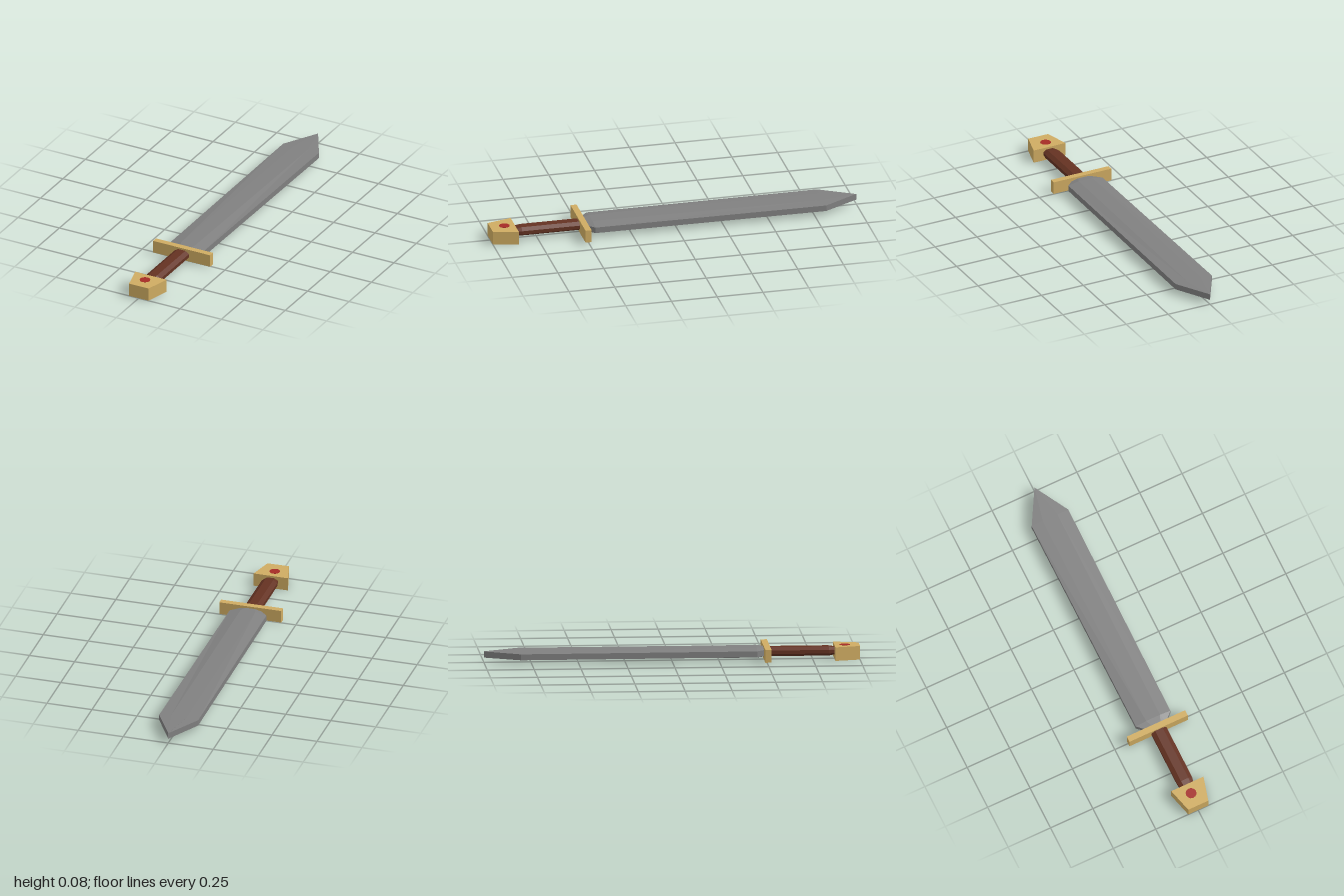
import * as THREE from 'three';

const steel = new THREE.MeshStandardMaterial({ name: 'steel', color: 0x808080 });
const gold = new THREE.MeshStandardMaterial({ name: 'gold', color: 0xcfac62 });
const leather = new THREE.MeshStandardMaterial({ name: 'leather', color: 0x643222 });
const ruby = new THREE.MeshStandardMaterial({ name: 'ruby', color: 0xa52b25 });

const MID = 0.042; // height of the sword's axis

// Skins rings of [x, y] points, ordered from front (+z) to back, with flat facets.
function loft(rings) {
  const pos = [];
  const tri = (...pts) => pts.forEach((p) => pos.push(...p));
  const solid = rings.map(({ z, pts }) => pts.map(([x, y]) => [x, y, z]));
  const n = solid[0].length;
  for (let k = 0; k + 1 < solid.length; k++) {
    const a = solid[k], b = solid[k + 1];
    for (let i = 0; i < n; i++) {
      const j = (i + 1) % n;
      tri(a[i], b[i], b[j]);
      tri(a[i], b[j], a[j]);
    }
  }
  const first = solid[0], last = solid[solid.length - 1];
  for (let i = 1; i < n - 1; i++) {
    tri(first[0], first[i], first[i + 1]);
    tri(last[0], last[i + 1], last[i]);
  }
  const g = new THREE.BufferGeometry();
  g.setAttribute('position', new THREE.Float32BufferAttribute(pos, 3));
  g.computeVertexNormals();
  return g;
}

// Blade section: blunt edges of half height e, raised middle of half height r.
const bladeRing = ([z, w, e, r]) => ({
  z,
  pts: [[w, -e], [w, e], [0.4 * w, r], [-0.4 * w, r], [-w, e], [-w, -e], [-0.4 * w, -r], [0.4 * w, -r]],
});

// Grip section: flattened octagon.
const gripRing = ([z, w, h]) => ({
  z,
  pts: [[w, -0.4 * h], [w, 0.4 * h], [0.5 * w, h], [-0.5 * w, h],
    [-w, 0.4 * h], [-w, -0.4 * h], [-0.5 * w, -h], [0.5 * w, -h]],
});

export function createModel() {
  const sword = new THREE.Group();
  sword.name = 'sword';
  const add = (name, geometry, material, x, y, z) => {
    const mesh = new THREE.Mesh(geometry, material);
    mesh.name = name;
    mesh.position.set(x, y, z);
    sword.add(mesh);
  };

  // Blade with chamfered shoulders and a pointed tip
  add('blade', loft([
    [0.495, 0.055, 0.016, 0.024],
    [0.45, 0.102, 0.016, 0.028],
    [-0.81, 0.108, 0.016, 0.02],
    [-1, 0, 0.016, 0.017],
  ].map(bladeRing)), steel, 0, MID, 0);

  // Crossguard
  add('guard', new THREE.BoxGeometry(0.344, 0.069, 0.033), gold, -0.001, 0.0425, 0.5035);

  // Grip, narrowing where it meets the pommel
  add('grip', loft([
    [0.875, 0.036, 0.018],
    [0.835, 0.044, 0.024],
    [0.51, 0.044, 0.024],
  ].map(gripRing)), leather, 0, MID, 0);

  // Wedge-shaped pommel
  const pommelRing = (z, w) => ({ z, pts: [[w, 0], [w, 0.073], [-w, 0.073], [-w, 0]] });
  add('pommel', loft([pommelRing(1, 0.059), pommelRing(0.866, 0.095)]), gold, 0.001, 0, 0);

  // Round gems set flush in both faces of the pommel
  for (const [name, y] of [['topGem', 0.0722], ['bottomGem', 0.0008]]) {
    add(name, new THREE.CylinderGeometry(0.029, 0.029, 0.003, 12), ruby, -0.004, y, 0.922);
  }

  return sword;
}
